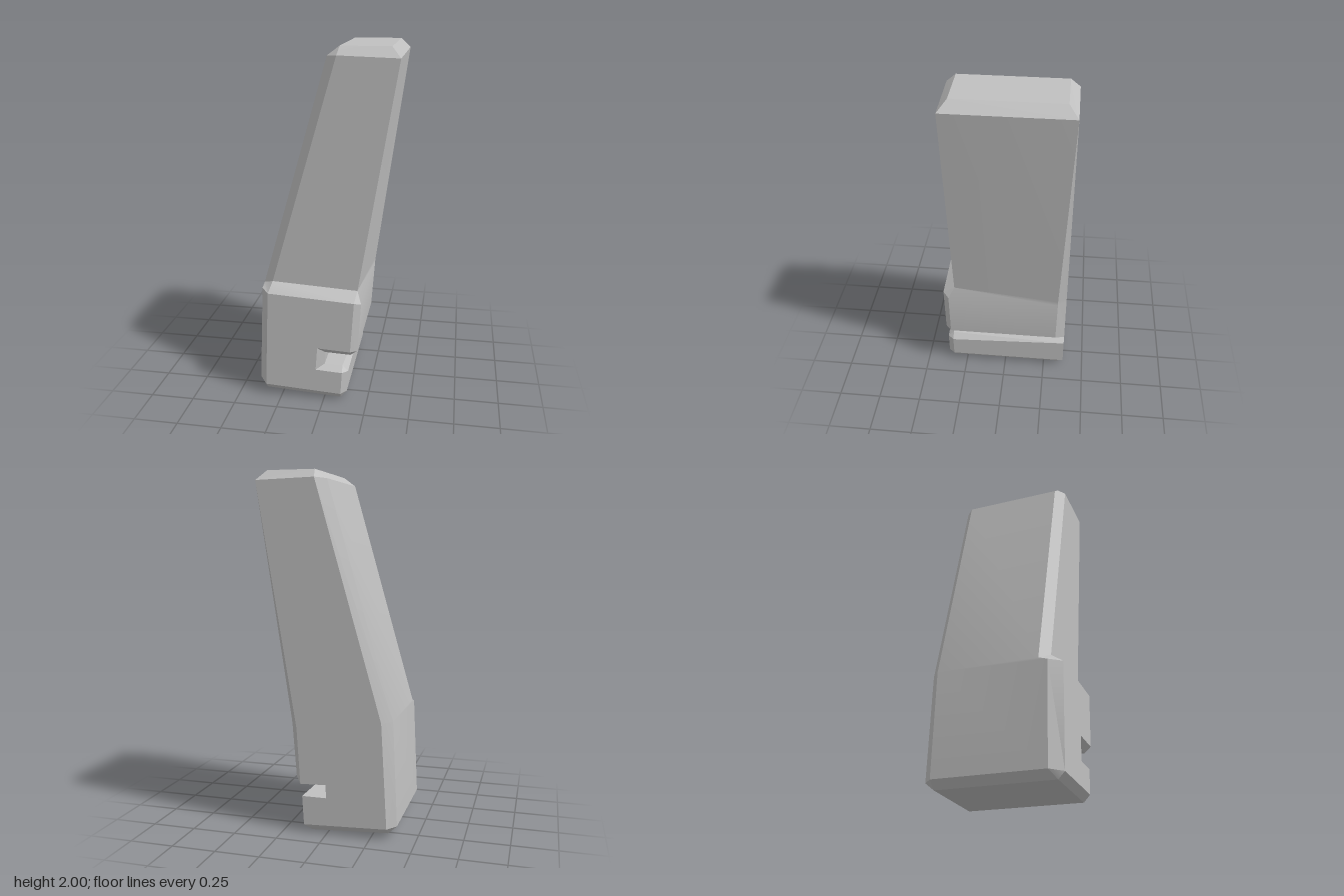
import * as THREE from 'three';
import { toCreasedNormals } from 'three/addons/utils/BufferGeometryUtils.js';

// Each outline point, counter-clockwise, as it crosses four layers in z:
// back face, rear bevel edge, front bevel edge, front face.
const ZB = -0.375, ZR = -0.325, ZF = 0.37, ZU = 0.3, ZM = 0.335;
const outline = {
  topRight: [[0.39, 1.945, ZB], [0.39, 1.945, ZB], [0.39, 1.945, ZU], [0.39, 1.945, ZU]],
  plateauRight: [[0.39, 1.945, ZB], [0.34, 2, ZR], [0.34, 2, 0.25], [0.39, 1.945, ZU]],
  plateauLeft: [[0.06, 1.955, ZB], [0.07, 2, ZR], [0.07, 2, 0.25], [0.06, 1.955, ZU]],
  topLeft: [[0.06, 1.955, ZB], [0.003, 1.95, ZR], [0.003, 1.95, 0.25], [0.06, 1.955, ZU]],
  bendLeft: [[-0.31, 0.655, ZB], [-0.365, 0.66, ZR], [-0.365, 0.66, 0.25], [-0.305, 0.69, ZU]],
  stepLeft: [[-0.31, 0.655, ZB], [-0.365, 0.66, ZR], [-0.366, 0.645, ZU], [-0.318, 0.642, ZF]],
  footLeft: [[-0.343, 0.065, ZB], [-0.392, 0.07, ZR], [-0.392, 0.07, ZU], [-0.343, 0.063, ZF]],
  baseLeft: [[-0.343, 0.065, ZB], [-0.343, 0.025, ZR], [-0.343, 0.025, ZM], [-0.343, 0.063, ZF]],
  baseRight: [[0.13, 0.045, ZB], [0.095, 0, ZR], [0.095, 0, ZM], [0.098, 0.04, ZF]],
  footRight: [[0.13, 0.045, ZB], [0.13, 0.045, ZB], [0.13, 0.045, ZM], [0.098, 0.04, ZF]],
  lipSide: [[0.14, 0.21, ZB], [0.14, 0.21, ZB], [0.137, 0.175, ZM], [0.106, 0.177, ZF]],
  lipTop: [[0.14, 0.21, ZB], [0.14, 0.21, ZB], [0.105, 0.21, ZM], [0.106, 0.177, ZF]],
  slotFloor: [[0, 0.21, ZB], [0, 0.21, ZR], [0, 0.21, ZM], [-0.047, 0.185, ZF]],
  slotRoof: [[0.003, 0.285, ZB], [0.003, 0.285, ZR], [0.003, 0.285, ZM], [-0.037, 0.323, ZF]],
  jawUnder: [[0.15, 0.28, ZB], [0.15, 0.28, ZR], [0.15, 0.28, ZM], [0.152, 0.314, ZF]],
  jawSide: [[0.15, 0.28, ZB], [0.19, 0.31, -0.32], [0.19, 0.31, ZM], [0.152, 0.314, ZF]],
  stepRight: [[0.17, 0.6, ZB], [0.21, 0.6, ZR], [0.208, 0.6, ZM], [0.172, 0.616, ZF]],
  bendRight: [[0.175, 0.63, ZB], [0.213, 0.63, ZR], [0.182, 0.665, ZU], [0.182, 0.665, ZU]],
};

function bodyGeometry() {
  const points = Object.values(outline).map(p => p.map(v => new THREE.Vector3(...v)));
  const n = points.length;
  const positions = [];

  // Skip triangles that collapse where bevels run out
  const tri = (a, b, c) => {
    const area = b.clone().sub(a).cross(c.clone().sub(a)).length();
    if (area > 1e-6) for (const v of [a, b, c]) positions.push(v.x, v.y, v.z);
  };

  // Walls and bevels between neighbouring layers
  for (let k = 0; k < 3; k++) {
    for (let i = 0; i < n; i++) {
      const p = points[i], q = points[(i + 1) % n];
      tri(p[k], q[k], q[k + 1]);
      tri(p[k], q[k + 1], p[k + 1]);
    }
  }

  // Flat faces, with repeated corners merged
  const cap = (ring, flip) => {
    const r = ring.filter((v, i) => v.distanceTo(ring[(i + 1) % ring.length]) > 1e-5);
    const flat = r.map(v => new THREE.Vector2(v.x, v.y));
    for (const [a, b, c] of THREE.ShapeUtils.triangulateShape(flat, [])) {
      if (flip) tri(r[a], r[c], r[b]);
      else tri(r[a], r[b], r[c]);
    }
  };
  const front = points.map(p => p[3]);
  cap(points.map(p => p[0]), true);
  cap([...front.slice(0, 5), front[n - 1]], false);          // upper front
  cap([front[4], front[5], front[n - 2], front[n - 1]], false); // sloped step
  cap(front.slice(5, n - 1), false);                         // lower front

  const g = new THREE.BufferGeometry();
  g.setAttribute('position', new THREE.Float32BufferAttribute(positions, 3));
  return toCreasedNormals(g, 0.5);
}

export function createModel() {
  const group = new THREE.Group();
  group.name = 'notchedLever';
  const grey = new THREE.MeshStandardMaterial({ color: 0xc0c0c0 });
  grey.name = 'plain grey';
  const body = new THREE.Mesh(bodyGeometry(), grey);
  body.name = 'leverBody';
  group.add(body);
  return group;
}
